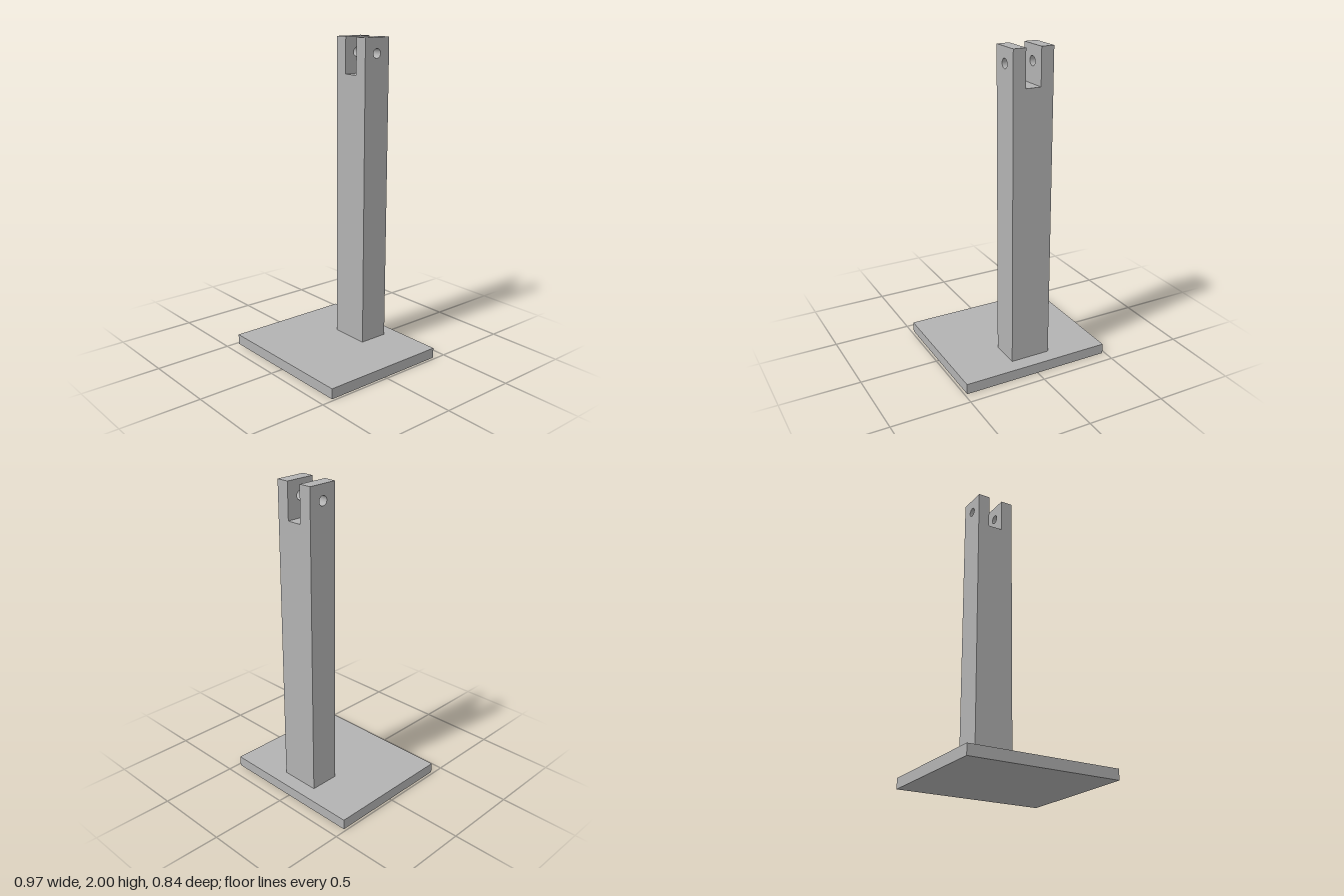
import * as THREE from 'three';

const grey = new THREE.MeshStandardMaterial({ color: 0xb2b2b2 });
grey.name = 'grey';

// Box given by its minimum and maximum corners
function block(name, [x0, y0, z0], [x1, y1, z1]) {
  const mesh = new THREE.Mesh(new THREE.BoxGeometry(x1 - x0, y1 - y0, z1 - z0), grey);
  mesh.name = name;
  mesh.position.set((x0 + x1) / 2, (y0 + y1) / 2, (z0 + z1) / 2);
  return mesh;
}

const BASE_TOP = 0.066, SLOT_FLOOR = 1.775, TOP = 2;
const BACK = -0.324, FRONT = -0.132;

// Upright cheek beside the slot, drilled crosswise for a pin
function cheek(name, x0, x1) {
  // Profile is drawn with its x axis pointing to -z
  const side = new THREE.Shape();
  side.moveTo(-FRONT, SLOT_FLOOR);
  side.lineTo(-BACK, SLOT_FLOOR);
  side.lineTo(-BACK, TOP);
  side.lineTo(-FRONT, TOP);
  side.closePath();
  const hole = new THREE.Path();
  hole.absarc(0.226, 1.905, 0.029, 0, Math.PI * 2, true);
  side.holes.push(hole);
  const geometry = new THREE.ExtrudeGeometry(side, { depth: x1 - x0, bevelEnabled: false, curveSegments: 32 });
  geometry.rotateY(Math.PI / 2);
  const mesh = new THREE.Mesh(geometry, grey);
  mesh.name = name;
  mesh.position.x = x0;
  return mesh;
}

export function createModel() {
  const model = new THREE.Group();
  model.name = 'slottedPostStand';
  model.add(
    block('basePlate', [-0.484, 0, -0.419], [0.484, BASE_TOP, 0.419]),
    block('post', [-0.129, BASE_TOP, BACK], [0.128, SLOT_FLOOR, FRONT]),
    cheek('rightCheek', -0.129, -0.049),
    cheek('leftCheek', 0.048, 0.128),
  );
  return model;
}
